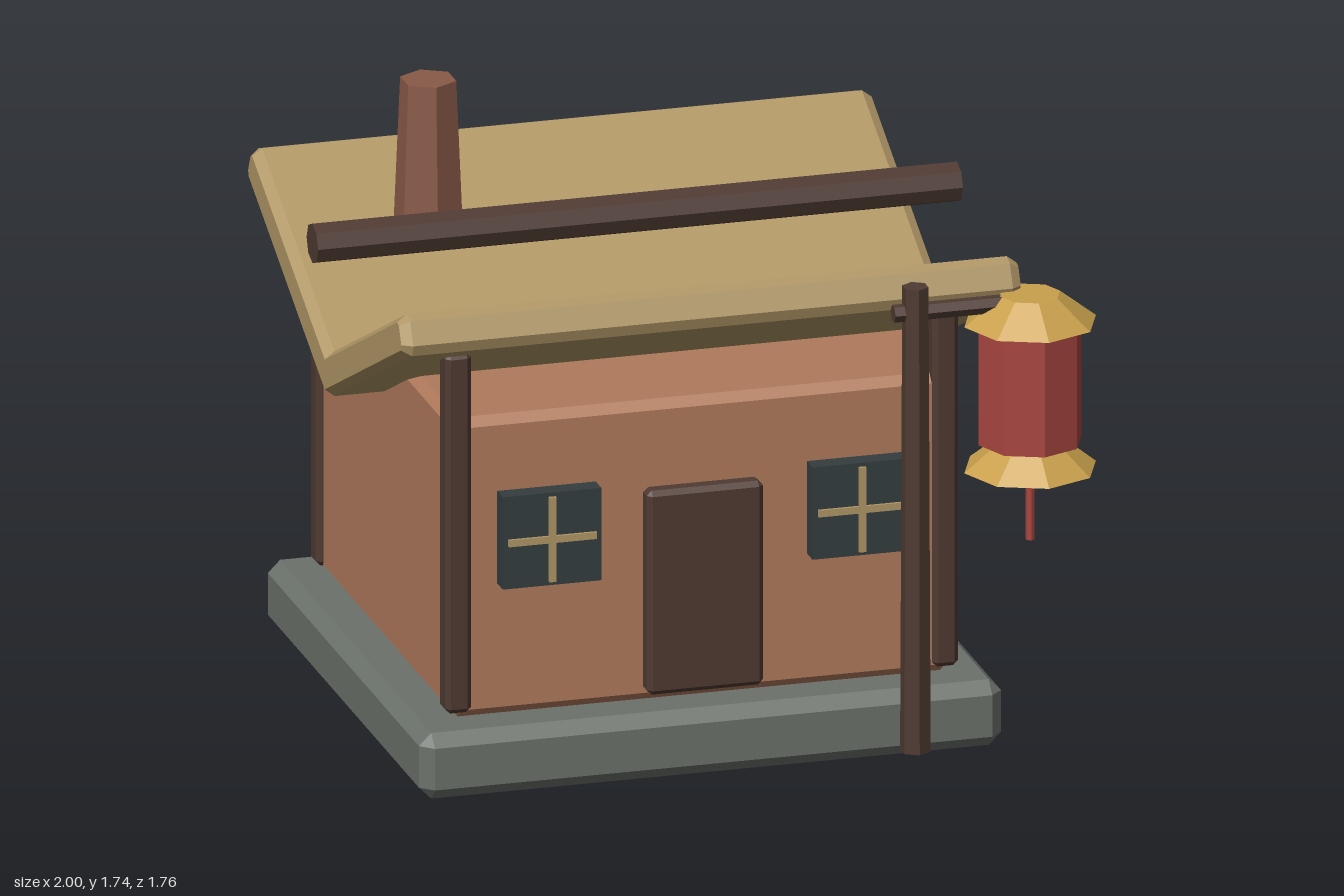
import * as THREE from 'three';
import { ConvexGeometry } from 'three/addons/geometries/ConvexGeometry.js';

const CX = -0.085, CZ = -0.105; // centre of the house

const mat = (color) => new THREE.MeshStandardMaterial({ color, flatShading: true });
const stone = mat(0x6b716b), clay = mat(0xb07a5c), timber = mat(0x4f3a32), thatch = mat(0xb09665);
const glass = mat(0x343d3f), brick = mat(0x8a5a48), red = mat(0xa84540), gold = mat(0xc9a04c);

// Box with flat chamfers on every edge, spanning the given ranges
function chamferBox([x0, x1], [y0, y1], [z0, z1], c) {
  const h = [(x1 - x0) / 2, (y1 - y0) / 2, (z1 - z0) / 2];
  const points = [];
  for (const sx of [-1, 1]) for (const sy of [-1, 1]) for (const sz of [-1, 1]) {
    for (let full = 0; full < 3; full++) {
      const p = h.map((v, i) => (i === full ? v : v - c));
      points.push(new THREE.Vector3(sx * p[0], sy * p[1], sz * p[2]));
    }
  }
  return new ConvexGeometry(points).translate((x0 + x1) / 2, (y0 + y1) / 2, (z0 + z1) / 2);
}

// Upright prism between two heights
const prism = (rTop, rBottom, y0, y1, sides, x, z) =>
  new THREE.CylinderGeometry(rTop, rBottom, y1 - y0, sides).translate(x, (y0 + y1) / 2, z);

// Beam running along x
const beam = (r, x0, x1, sides, y, z) =>
  new THREE.CylinderGeometry(r, r, x1 - x0, sides).rotateZ(Math.PI / 2).translate((x0 + x1) / 2, y, z);

// V-shaped roof section, swept along x
function roofGeometry() {
  const a = Math.atan(0.49), cos = Math.cos(a), sin = Math.sin(a);
  const t = 0.0585, end = 0.842, c = 0.024, bevel = 0.028, mid = 0.985;
  const at = (s, p) => [s * cos - p * sin, mid + s * sin + p * cos];
  const half = [at(end - c, -t), at(end, -t + c), at(end, t - c), at(end - c, t)];
  const pts = [
    [0, mid - t / cos], ...half, [0, mid + t / cos],
    ...half.slice().reverse().map(([u, v]) => [-u, v]),
  ];
  const shape = new THREE.Shape(pts.map(([u, v]) => new THREE.Vector2(u, v)));
  const length = 1.76;
  return new THREE.ExtrudeGeometry(shape, {
    depth: length - 2 * bevel, bevelEnabled: true, bevelSegments: 1,
    bevelThickness: bevel, bevelSize: bevel * 0.7, bevelOffset: -bevel * 0.7,
  }).translate(0, 0, bevel - length / 2).rotateY(Math.PI / 2).translate(CX, 0, CZ);
}

export function createModel() {
  const model = new THREE.Group();
  const add = (name, geometry, material, parent = model) => {
    const mesh = new THREE.Mesh(geometry, material);
    mesh.name = name;
    parent.add(mesh);
    return mesh;
  };
  const group = (name) => {
    const g = new THREE.Group();
    g.name = name;
    model.add(g);
    return g;
  };

  // House body
  add('foundation', chamferBox([-0.912, 0.742], [0, 0.19], [-0.88, 0.67], 0.035), stone);
  add('walls', chamferBox([-0.795, 0.625], [0.19, 1.055], [-0.76, 0.55], 0.025), clay);
  add('door', chamferBox([-0.25, 0.08], [0.22, 0.81], [0.52, 0.597], 0.014), timber);

  // Corner posts
  const posts = group('cornerPosts');
  for (const sx of [-1, 1]) for (const sz of [-1, 1]) {
    const x = CX + sx * 0.692, z = CZ + sz * 0.633, r = 0.037;
    add('cornerPost', chamferBox([x - r, x + r], [0.21, 1.25], [z - r, z + r], 0.014), timber, posts);
  }

  // Windows with crossed glazing bars
  for (const side of [-1, 1]) {
    const win = group(side < 0 ? 'rightWindow' : 'leftWindow');
    win.position.set(CX + side * 0.44, 0.707, 0);
    add('pane', new THREE.BoxGeometry(0.28, 0.267, 0.065).translate(0, 0, 0.573), glass, win);
    add('verticalBar', new THREE.BoxGeometry(0.02, 0.245, 0.03).translate(0, 0, 0.6), thatch, win);
    add('horizontalBar', new THREE.BoxGeometry(0.25, 0.02, 0.03).translate(0, 0, 0.599), thatch, win);
  }

  // Roof, beam and chimney
  add('roof', roofGeometry(), thatch);
  add('ridgeBeam', beam(0.057, -1, 0.832, 8, 1.368, CZ), timber);
  add('chimney', prism(0.079, 0.098, 1.295, 1.735, 6, -0.61, -0.315), brick);

  // Lantern on its pole
  const lantern = group('lantern');
  const lx = 0.808, lz = 0.692;
  add('pole', prism(0.037, 0.043, 0.025, 1.368, 6, 0.482, lz), timber, lantern);
  add('arm', beam(0.025, 0.42, 0.86, 6, 1.293, 0.688), timber, lantern);
  add('lanternBody', prism(0.146, 0.146, 0.89, 1.245, 8, lx, lz), red, lantern);
  add('topCap', prism(0.085, 0.187, 1.235, 1.315, 8, lx, lz), gold, lantern);
  add('bottomCap', prism(0.085, 0.187, 0.813, 0.896, 8, lx, lz), gold, lantern);
  add('tassel', prism(0.013, 0.013, 0.605, 0.83, 6, lx, lz), red, lantern);

  return model;
}
